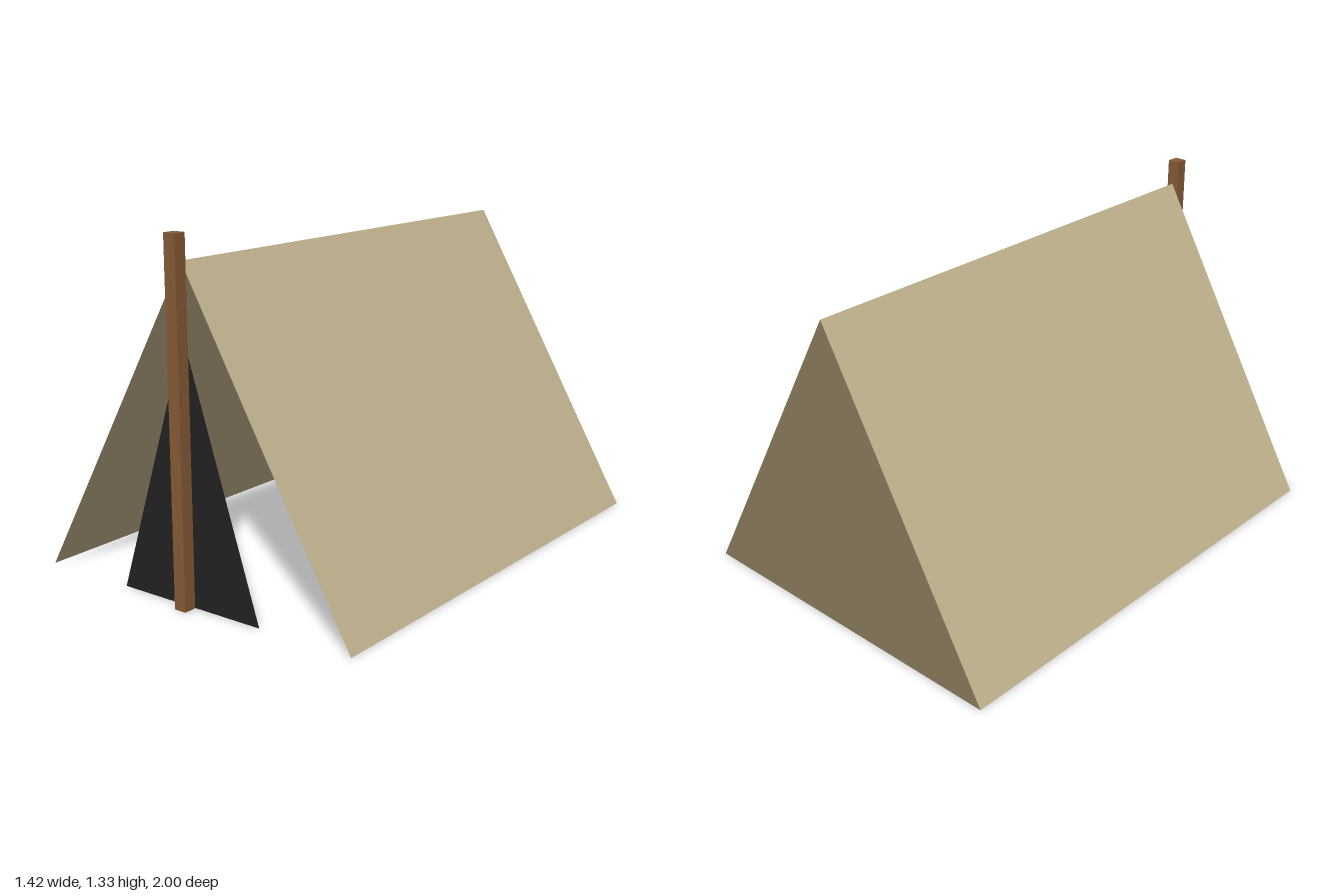
import * as THREE from 'three';

const HALF_WIDTH = 0.71, RIDGE = 1.235, FRONT = 0.948, BACK = -1;

function mat(name, color, doubleSided) {
  const m = new THREE.MeshStandardMaterial({ color });
  m.name = name;
  if (doubleSided) m.side = THREE.DoubleSide;
  return m;
}

// Upright triangular sheet standing on the ground at depth z
function triangle(name, halfWidth, height, z, material) {
  const shape = new THREE.Shape();
  shape.moveTo(-halfWidth, 0);
  shape.lineTo(halfWidth, 0);
  shape.lineTo(0, height);
  const mesh = new THREE.Mesh(new THREE.ShapeGeometry(shape), material);
  mesh.name = name;
  mesh.position.z = z;
  return mesh;
}

// Sloping canvas sheet from the ridge down to one side (+1 left, -1 right)
function roofSheet(name, side, material) {
  const geo = new THREE.PlaneGeometry(FRONT - BACK, Math.hypot(HALF_WIDTH, RIDGE));
  geo.rotateX(-Math.atan2(HALF_WIDTH, RIDGE));
  geo.rotateY(side * Math.PI / 2);
  geo.translate(side * HALF_WIDTH / 2, RIDGE / 2, (FRONT + BACK) / 2);
  const mesh = new THREE.Mesh(geo, material);
  mesh.name = name;
  return mesh;
}

export function createModel() {
  const tent = new THREE.Group();
  tent.name = 'tent';

  const canvas = mat('canvas', 0xc4b590, true);
  const darkCanvas = mat('darkCanvas', 0x8c7b5d, true);
  const opening = mat('openingBlack', 0x222222, true);
  const wood = mat('wood', 0x875c36, false);

  // Two roof slopes, closed back, dark doorway
  tent.add(roofSheet('leftRoof', 1, canvas), roofSheet('rightRoof', -1, canvas));
  tent.add(triangle('backPanel', HALF_WIDTH, RIDGE, BACK, darkCanvas));
  tent.add(triangle('doorway', 0.32, 0.98, FRONT, opening));

  // Square front pole
  const pole = new THREE.Mesh(new THREE.BoxGeometry(0.05, 1.333, 0.05), wood);
  pole.name = 'frontPole';
  pole.position.set(0, 1.333 / 2, 0.975);
  tent.add(pole);

  return tent;
}
